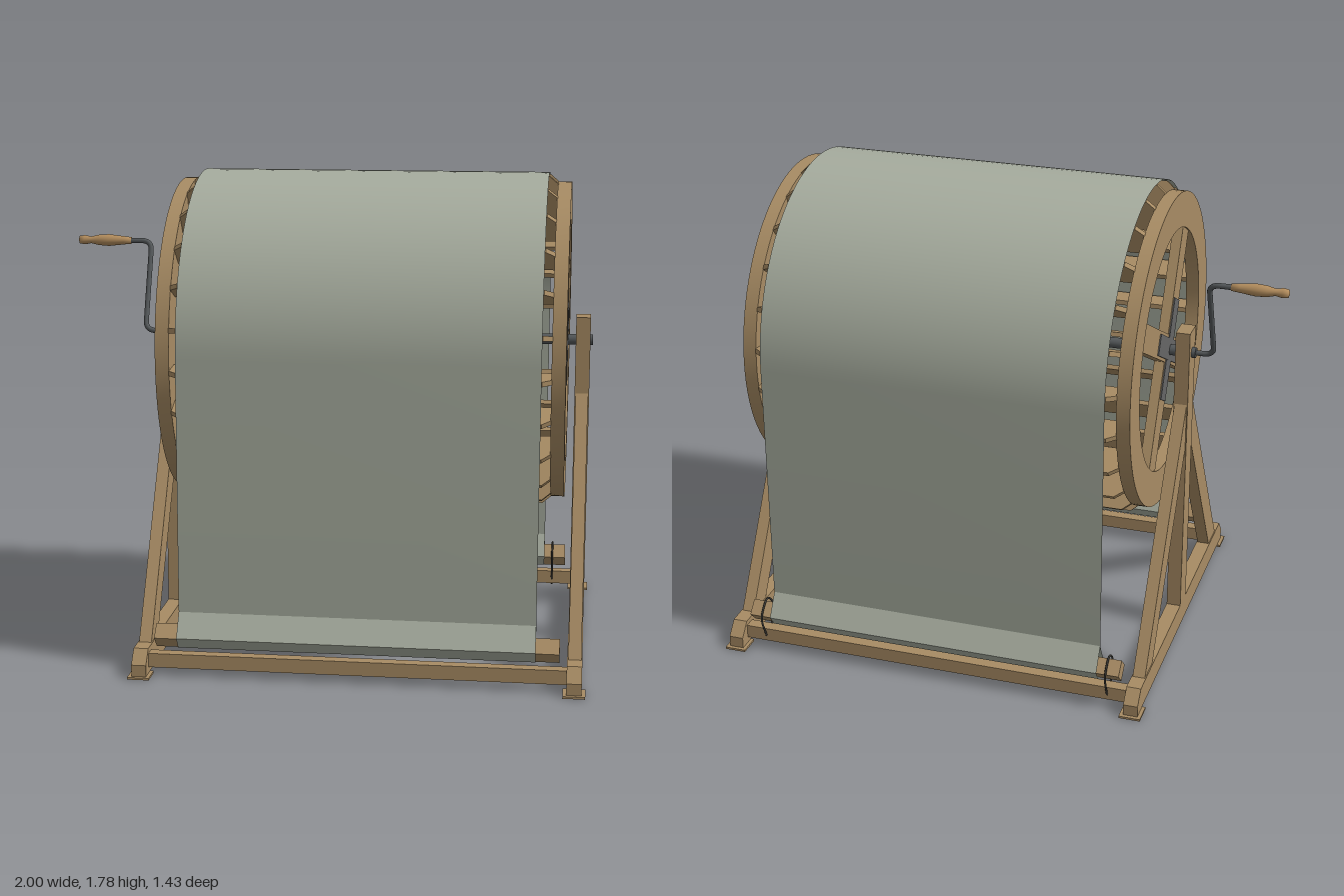
import * as THREE from 'three';
import { toCreasedNormals } from 'three/addons/utils/BufferGeometryUtils.js';

const AXLE_Y = 1.16;
const MID_X = 0.18; // centre plane between the two stands

export function createModel() {
  const model = new THREE.Group();
  model.name = 'windMachine';

  const material = (name, color, extra = {}) => {
    const m = new THREE.MeshStandardMaterial({ color, ...extra });
    m.name = name;
    return m;
  };
  const wood = material('wood', 0xa88c64);
  const handleWood = material('handleWood', 0xb48e5e);
  const cloth = material('cloth', 0xa6ac9e, { side: THREE.DoubleSide });
  const plateMetal = material('plateMetal', 0x666666);
  const rodMetal = material('rodMetal', 0x54585a);
  const rope = material('rope', 0x3c3a36);

  function add(name, geometry, mat, parent = model, x = 0, y = 0, z = 0) {
    const mesh = new THREE.Mesh(geometry, mat);
    mesh.name = name;
    mesh.position.set(x, y, z);
    parent.add(mesh);
    return mesh;
  }
  const box = (w, h, d) => new THREE.BoxGeometry(w, h, d);
  const polygon = (pts) => new THREE.Shape(pts.map(([a, b]) => new THREE.Vector2(a, b)));

  // Extrudes a (z, y) outline along x, centred on x = 0
  function sideExtrude(shape, width, curveSegments = 12) {
    const g = new THREE.ExtrudeGeometry(shape, { depth: width, bevelEnabled: false, curveSegments });
    g.translate(0, 0, -width / 2);
    g.rotateY(-Math.PI / 2);
    return g;
  }

  // Stands: rail, post, two braces and foot plates
  const railShape = polygon([[-0.7, 0.008], [0.7, 0.008], [0.7, 0.05], [0.655, 0.1], [-0.655, 0.1], [-0.7, 0.05]]);
  for (const side of [-1, 1]) {
    const stand = new THREE.Group();
    stand.name = side < 0 ? 'rightStand' : 'leftStand';
    stand.position.x = MID_X + side * 0.781;
    model.add(stand);
    add('rail', sideExtrude(railShape, 0.054), wood, stand);
    add('post', box(0.054, 1.15, 0.09), wood, stand, 0, 0.675, 0);
    for (const s of [-1, 1]) {
      const brace = polygon([[s * 0.583, 0.1], [s * 0.47, 0.1], [s * 0.044, 0.78], [s * 0.044, 0.965]]);
      add('brace', sideExtrude(brace, 0.046), wood, stand);
      add('footPlate', box(0.08, 0.008, 0.085), wood, stand, 0, 0.004, s * 0.672);
    }
  }
  for (const s of [-1, 1]) {
    add('crossBeam', box(1.51, 0.052, 0.045), wood, model, MID_X, 0.056, s * 0.632);
    const bar = add('clothBar', box(1.455, 0.062, 0.062), wood, model, MID_X, 0.147, s * 0.63);
    bar.rotation.x = Math.PI / 4;
  }

  // Drum wheels: ring, crossed arms and metal hub plates
  const ring = new THREE.Shape().absarc(0, 0, 0.588, 0, Math.PI * 2, false);
  ring.holes.push(new THREE.Path().absarc(0, 0, 0.455, 0, Math.PI * 2, true));
  const ringGeometry = toCreasedNormals(sideExtrude(ring, 0.05, 48), 0.6);
  const drum = new THREE.Group();
  drum.name = 'drum';
  drum.position.set(MID_X, AXLE_Y, 0);
  model.add(drum);
  for (const side of [-1, 1]) {
    const wheel = new THREE.Group();
    wheel.name = side < 0 ? 'rightWheel' : 'leftWheel';
    wheel.position.x = side * 0.701;
    drum.add(wheel);
    add('ring', ringGeometry, wood, wheel);
    [28, 118].forEach((degrees, i) => {
      const angle = THREE.MathUtils.degToRad(degrees - 90);
      add('arms', box(0.04 - i * 0.002, 0.93, 0.103), wood, wheel).rotation.x = angle;
      const plate = add('hubPlate', box(0.006, 0.38, 0.08), plateMetal, wheel, side * (0.0215 - i * 0.001));
      plate.rotation.x = angle;
    });
  }

  // Slats standing on edge around the drum, with bevelled ends
  const slatShape = polygon([[-0.678, 0.5], [0.678, 0.5], [0.678, 0.588], [0.645, 0.616], [-0.645, 0.616], [-0.678, 0.588]]);
  const slatGeometry = new THREE.ExtrudeGeometry(slatShape, { depth: 0.018, bevelEnabled: false });
  slatGeometry.translate(0, 0, -0.009);
  for (let i = 0; i < 24; i++) {
    add('slat', slatGeometry, wood, drum).rotation.x = THREE.MathUtils.degToRad(5.5 + 15 * i - 90);
  }

  // Cloth: hem loop round each bar, straight drops and a half turn over the drum
  const hem = [[0.627, 0.235], [0.58, 0.15], [0.612, 0.107], [0.648, 0.107], [0.68, 0.15], [0.627, 0.235]];
  const path = [...hem];
  for (let i = 0; i <= 48; i++) {
    const a = (Math.PI * i) / 48;
    path.push([0.627 * Math.cos(a), AXLE_Y + 0.622 * Math.sin(a)]);
  }
  path.push(...hem.map(([z, y]) => [-z, y]).reverse());
  const positions = [], index = [];
  path.forEach(([z, y], i) => {
    positions.push(-0.465, y, z, 0.823, y, z);
    if (i) {
      const a = 2 * i - 2;
      index.push(a, a + 1, a + 2, a + 1, a + 3, a + 2);
    }
  });
  const sheet = new THREE.BufferGeometry();
  sheet.setAttribute('position', new THREE.Float32BufferAttribute(positions, 3));
  sheet.setIndex(index);
  add('cloth', toCreasedNormals(sheet, 0.4), cloth);

  // Ropes tying the rear bar to its cross beam
  for (const x of [-0.5, 0.855]) {
    const loop = new THREE.CatmullRomCurve3(
      [[0.2, -0.63], [0.15, -0.684], [0.08, -0.665], [0.022, -0.63], [0.08, -0.6], [0.15, -0.576]]
        .map(([y, z]) => new THREE.Vector3(x, y, z)), true);
    add('tieRope', new THREE.TubeGeometry(loop, 40, 0.004, 6, true), rope);
  }

  // Axle and crank
  const axle = new THREE.CylinderGeometry(0.02, 0.02, 1.64, 20).rotateZ(Math.PI / 2);
  add('axle', axle, rodMetal, model, 0.177, AXLE_Y, 0);
  const v = (x, y, z) => new THREE.Vector3(x, y, z);
  const top = v(-0.71, 1.49, -0.135), elbow = v(-0.71, AXLE_Y, 0);
  const along = (t) => elbow.clone().lerp(top, t);
  const crank = new THREE.CurvePath();
  crank.add(new THREE.LineCurve3(v(-0.62, AXLE_Y, 0), v(-0.67, AXLE_Y, 0)));
  crank.add(new THREE.QuadraticBezierCurve3(v(-0.67, AXLE_Y, 0), elbow, along(0.11)));
  crank.add(new THREE.LineCurve3(along(0.11), along(0.89)));
  crank.add(new THREE.QuadraticBezierCurve3(along(0.89), top, v(-0.75, 1.49, -0.135)));
  crank.add(new THREE.LineCurve3(v(-0.75, 1.49, -0.135), v(-0.82, 1.49, -0.135)));
  add('crankRod', new THREE.TubeGeometry(crank, 80, 0.01, 10), rodMetal);

  const grip = [[0, 0], [0.013, 0], [0.016, 0.03], [0.023, 0.09], [0.02, 0.13], [0.013, 0.16], [0.018, 0.185], [0.015, 0.205], [0, 0.21]];
  const gripGeometry = new THREE.LatheGeometry(grip.map(([r, h]) => new THREE.Vector2(r, h)), 20).rotateZ(Math.PI / 2);
  add('crankHandle', gripGeometry, handleWood, model, -0.79, 1.49, -0.135);

  return model;
}
